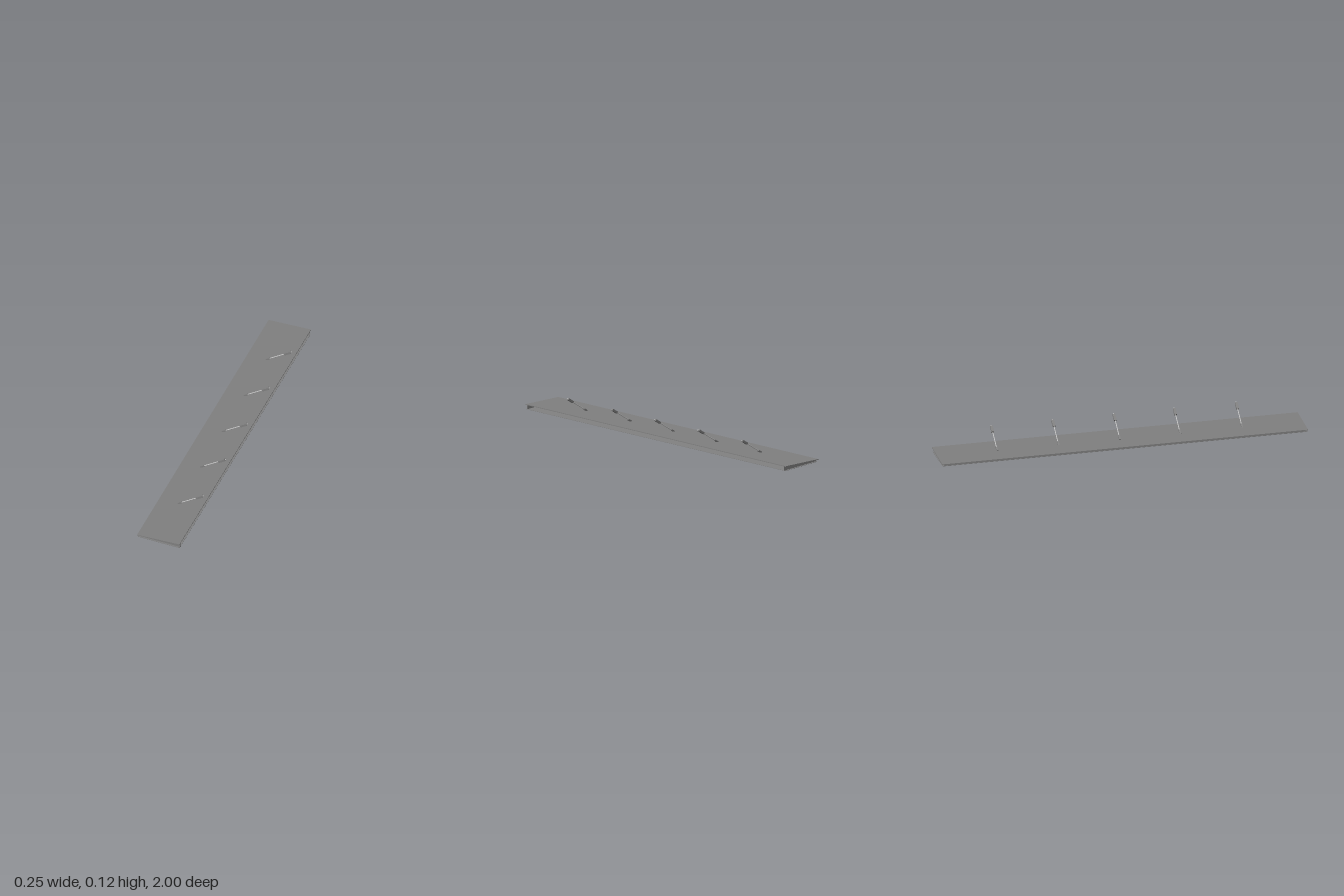
import * as THREE from 'three';

export function createModel() {
  const model = new THREE.Group();
  model.name = 'canopy';
  const grey = new THREE.MeshStandardMaterial({ name: 'grey metal', color: 0x808080 });
  const steel = new THREE.MeshStandardMaterial({ name: 'pale steel', color: 0xc4c4c4 });
  const white = new THREE.MeshStandardMaterial({ name: 'white light', color: 0xf8f8f8 });

  const add = (parent, name, geometry, material = grey) => {
    const mesh = new THREE.Mesh(geometry, material);
    mesh.name = name;
    parent.add(mesh);
    return mesh;
  };
  const wallX = 0.113, webX = -0.121, endZ = 0.988, ceilingY = 0.024, sheet = 0.0015;
  // underside rises from the wall towards the free edge
  const underside = x => 0.0008 + (wallX - x) * 0.0555;
  const floorY = x => underside(x) + sheet;

  // upright profile extruded from z0 to z1
  const extrude = (points, z0, z1) => {
    const shape = new THREE.Shape(points.map(p => new THREE.Vector2(...p)));
    return new THREE.ExtrudeGeometry(shape, { depth: z1 - z0, bevelEnabled: false }).translate(0, 0, z0);
  };

  // flat roof sheet
  const roof = add(model, 'roofPlate', new THREE.BoxGeometry(0.2405, 0.004, 2));
  roof.position.set(-0.0072, ceilingY + 0.002, 0);

  // hollow tapered casing, open towards the wall: floor, free-edge web and end webs
  const lipX = -0.123;
  const floor = [[lipX, underside(lipX)], [wallX, underside(wallX)], [wallX, floorY(wallX)], [lipX, floorY(lipX)]];
  add(model, 'soffitPanel', extrude(floor, -0.997, 0.997));
  const web = [[webX, floorY(webX)], [webX + 0.002, floorY(webX + 0.002)], [webX + 0.002, ceilingY], [webX, ceilingY]];
  add(model, 'edgeWeb', extrude(web, -endZ, endZ));
  const end = [[webX, floorY(webX)], [wallX, floorY(wallX)], [wallX, ceilingY], [webX, ceilingY]];
  add(model, 'frontEndWeb', extrude(end, endZ - 0.002, endZ));
  add(model, 'backEndWeb', extrude(end, -endZ, -endZ + 0.002));

  // narrow light strip running around the sloping soffit
  const rect = (x0, x1, z) => [[x0, -z], [x1, -z], [x1, z], [x0, z]].map(p => new THREE.Vector2(...p));
  const stripWidth = 0.007;
  const outline = new THREE.Shape(rect(-0.098, 0.083, 0.97));
  outline.holes.push(new THREE.Path(rect(-0.098 + stripWidth, 0.083 - stripWidth, 0.97 - stripWidth)));
  const strip = new THREE.ExtrudeGeometry(outline, { depth: 0.001, bevelEnabled: false });
  strip.rotateX(-Math.PI / 2);
  const pos = strip.attributes.position;
  for (let i = 0; i < pos.count; i++) pos.setY(i, pos.getY(i) + underside(pos.getX(i)) - 0.0006);
  strip.computeVertexNormals();
  add(model, 'lightStrip', strip, white);

  // inclined tie rods, drawn along local y and tilted towards the wall
  for (const z of [0.666, 0.327, -0.003, -0.338, -0.673]) {
    const tie = new THREE.Group();
    tie.name = 'tieRod';
    const segment = (name, geometry, from, to, material) => {
      add(tie, name, geometry, material).position.y = (from + to) / 2;
    };
    const box = (thick, wide, from, to) => new THREE.BoxGeometry(thick, to - from, wide);
    const rod = (r, from, to) => new THREE.CylinderGeometry(r, r, to - from, 32);
    segment('lowerBracket', box(0.008, 0.009, -0.002, 0.024), -0.002, 0.024, grey);
    segment('rod', rod(0.0025, 0.02, 0.13), 0.02, 0.13, steel);
    segment('sleeve', box(0.011, 0.014, 0.122, 0.163), 0.122, 0.163, grey);
    segment('tip', rod(0.0027, 0.16, 0.169), 0.16, 0.169, steel);
    tie.position.set(-0.018, 0.0278, z);
    tie.rotation.z = -Math.atan2(0.1445, 0.089);
    model.add(tie);
  }
  return model;
}
